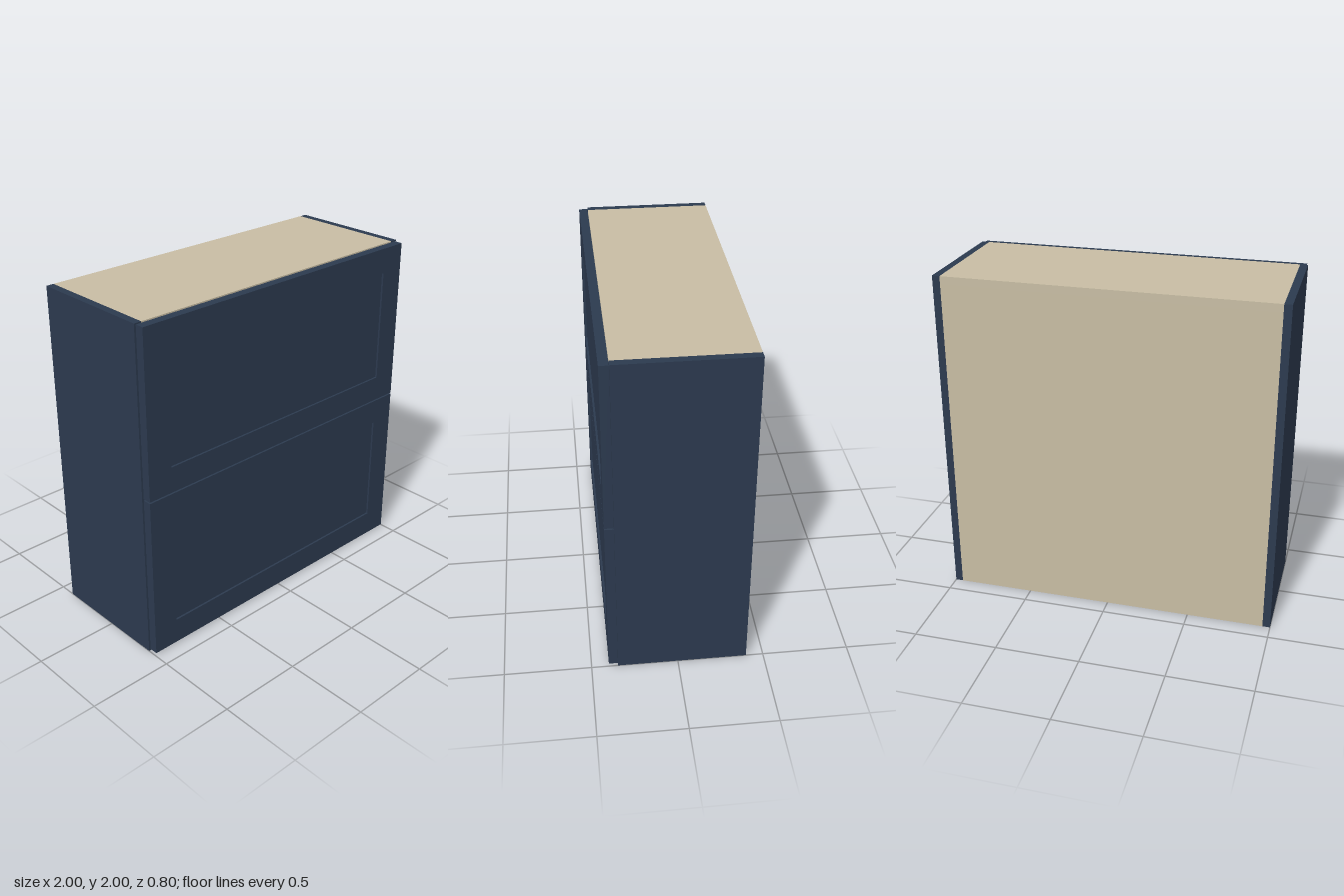
import * as THREE from 'three';

const navy = new THREE.MeshStandardMaterial({ color: 0x2c3a4f });
const beige = new THREE.MeshStandardMaterial({ color: 0xc8bda4 });

// Box given by its minimum and maximum corners
function panel(name, material, min, max) {
  const size = max.map((v, i) => v - min[i]);
  const mesh = new THREE.Mesh(new THREE.BoxGeometry(...size), material);
  mesh.position.set(...max.map((v, i) => (v + min[i]) / 2));
  mesh.name = name;
  return mesh;
}

// Rectangle outline, usable as a shape or as a hole
function rectangle(PathType, w, h) {
  return new PathType([
    new THREE.Vector2(-w / 2, -h / 2), new THREE.Vector2(w / 2, -h / 2),
    new THREE.Vector2(w / 2, h / 2), new THREE.Vector2(-w / 2, h / 2),
  ]);
}

// Drawer front: a frame around a slightly recessed flat panel
function drawerFront(name, yBottom) {
  const w = 1.98, h = 0.987, border = 0.153, depth = 0.052, recess = 0.012;
  const group = new THREE.Group();
  group.name = name;
  const outline = rectangle(THREE.Shape, w, h);
  outline.holes.push(rectangle(THREE.Path, w - 2 * border, h - 2 * border));
  const frame = new THREE.Mesh(
    new THREE.ExtrudeGeometry(outline, { depth, bevelEnabled: false }), navy);
  frame.name = name + 'Frame';
  const iw = w / 2 - border, ih = h / 2 - border;
  group.add(frame, panel(name + 'Panel', navy, [-iw, -ih, 0], [iw, ih, depth - recess]));
  group.position.set(0, yBottom + h / 2, 0.348);
  return group;
}

export function createModel() {
  const cabinet = new THREE.Group();
  cabinet.name = 'drawerCabinet';
  const t = 0.045, inner = 1 - t, back = -0.4, front = 0.347;

  // Side panels
  cabinet.add(
    panel('leftSide', navy, [inner, 0, back], [1, 2, front]),
    panel('rightSide', navy, [-1, 0, back], [-inner, 2, front]));

  // Carcass: bottom, top and back
  cabinet.add(
    panel('bottomPanel', beige, [-inner, 0, back], [inner, t, front]),
    panel('topPanel', beige, [-inner, 2 - t, back], [inner, 2, front]),
    panel('backPanel', beige, [-inner, t, back], [inner, 2 - t, back + t]));

  // Two stacked drawer fronts with thin gaps
  cabinet.add(drawerFront('lowerDrawer', 0.01), drawerFront('upperDrawer', 1.006));
  return cabinet;
}
